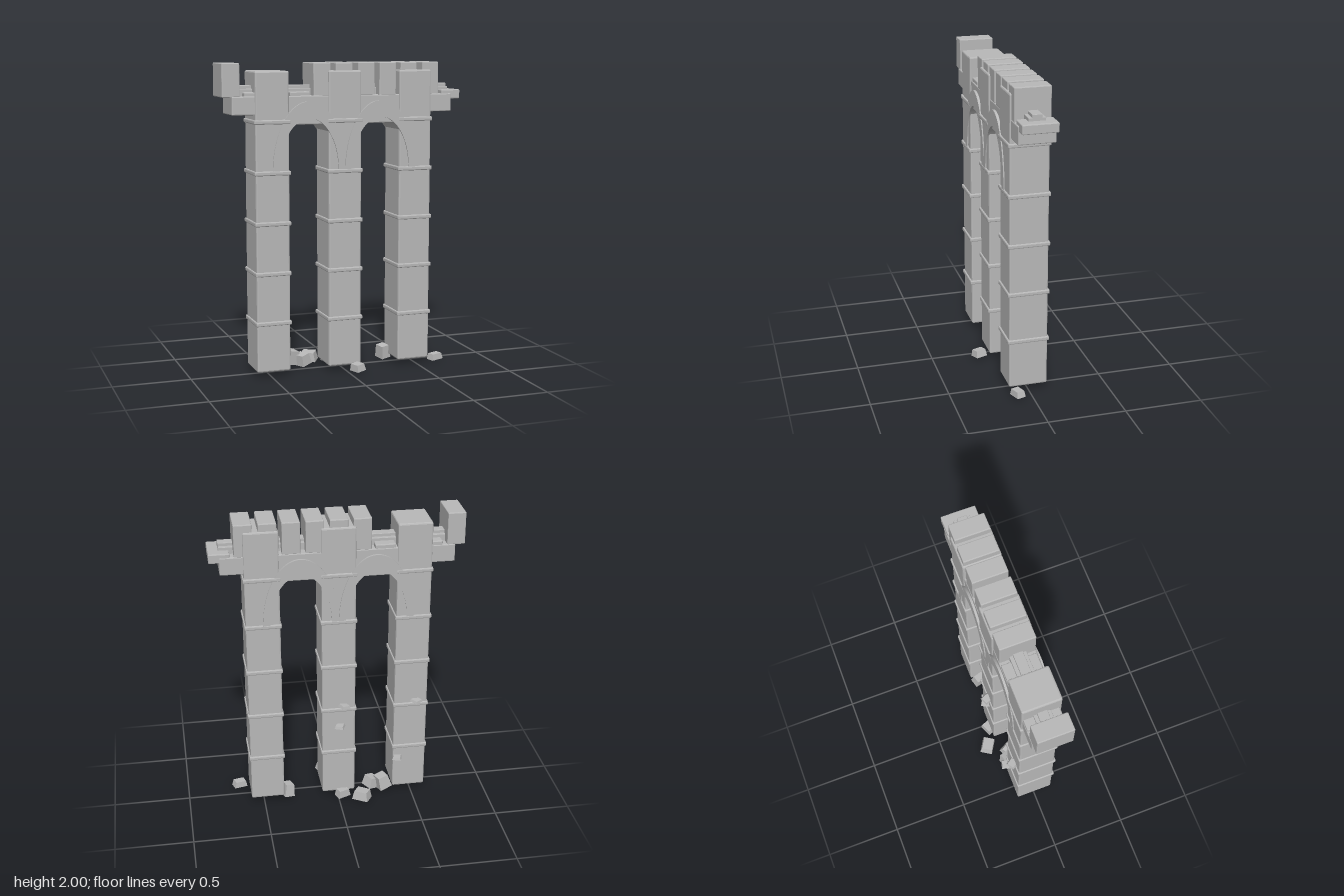
import * as THREE from 'three';
import { RoundedBoxGeometry } from 'three/addons/geometries/RoundedBoxGeometry.js';

export function createModel() {
  const root = new THREE.Group();
  root.name = 'ruinedArcade';
  const stone = new THREE.MeshStandardMaterial({ color: 0xb8b8b8, flatShading: true });
  stone.name = 'grey stone';

  const add = (name, geometry) => {
    const mesh = new THREE.Mesh(geometry, stone);
    mesh.name = name;
    root.add(mesh);
    return mesh;
  };
  // Chamfered block given by its limits
  const block = (name, x0, x1, y0, y1, z0, z1, bevel = 0.006) => {
    const mesh = add(name, new RoundedBoxGeometry(x1 - x0, y1 - y0, z1 - z0, 1, bevel));
    mesh.position.set((x0 + x1) / 2, (y0 + y1) / 2, (z0 + z1) / 2);
    return mesh;
  };

  // Pillars with stone collars
  for (const x of [-0.485, -0.005, 0.475]) {
    block('pillar', x - 0.11, x + 0.11, 0.04, 1.95, -0.122, 0.127, 0.01);
    for (let i = 0; i < 5; i++) {
      const y = 0.355 + i * 0.32;
      block('collar', x - 0.118, x + 0.118, y - 0.014, y + 0.014, -0.131, 0.137, 0.007);
    }
  }

  // Pointed-up elliptical arches, their legs running down over the pillars
  const arch = new THREE.Shape();
  arch.absellipse(0, 0, 0.24, 0.44, 0, Math.PI, false, 0);
  arch.lineTo(-0.195, 0);
  arch.absellipse(0, 0, 0.195, 0.335, Math.PI, 0, true, 0);
  arch.closePath();
  for (const x of [-0.245, 0.235]) {
    const geometry = new THREE.ExtrudeGeometry(arch, { depth: 0.264, bevelEnabled: false, curveSegments: 28 });
    add('arch', geometry).position.set(x, 1.32, -0.1295);
  }

  // Walkway beam, broken ends and stepped rail
  block('spandrelBeam', -0.59, 0.58, 1.615, 1.795, -0.115, 0.118);
  block('brokenBeam', -0.74, 0.73, 1.68, 1.795, -0.115, 0.118);
  block('lowerRail', -0.69, 0.73, 1.78, 1.84, -0.05, 0.056, 0.003);
  block('upperRail', -0.69, 0.73, 1.82, 1.86, -0.028, 0.034, 0.003);

  // Standing merlons
  for (const x of [-0.745, -0.155, -0.008, 0.142, 0.288, 0.432, 0.582]) {
    block('merlon', x - 0.057, x + 0.057, 1.79, 2, -0.112, 0.116);
  }
  // Stumps of fallen merlons
  block('merlonStump', -0.66, -0.55, 1.76, 1.82, -0.112, 0.112);
  block('merlonStump', -0.365, -0.235, 1.76, 1.82, -0.112, 0.112);
  block('merlonStump', 0.665, 0.795, 1.76, 1.82, -0.112, 0.112);

  // Tapered fragments of stone: position, size, turn
  const fragment = (name, p, s, r) => {
    const geometry = new THREE.BoxGeometry(...s);
    const v = geometry.attributes.position;
    for (let i = 0; i < v.count; i++) {
      if (v.getY(i) > 0) v.setXYZ(i, v.getX(i) * 0.78, v.getY(i), v.getZ(i) * 0.85);
    }
    const mesh = add(name, geometry);
    mesh.position.set(...p);
    mesh.rotation.set(...r);
  };
  fragment('rubble', [-0.31, 0.07, -0.09], [0.09, 0.09, 0.09], [0.1, 0.3, -0.25]);
  fragment('rubble', [-0.24, 0.055, -0.06], [0.08, 0.07, 0.09], [0, 0.5, 0.2]);
  fragment('rubble', [-0.155, 0.038, -0.185], [0.11, 0.06, 0.085], [0.1, -0.55, 0.05]);
  fragment('rubble', [0.06, 0.038, 0.19], [0.07, 0.045, 0.08], [0, 0.35, 0.12]);
  fragment('rubble', [0.335, 0.058, -0.07], [0.07, 0.085, 0.08], [0.1, 0.3, 0.1]);
  fragment('rubble', [0.65, 0.034, 0.09], [0.09, 0.04, 0.06], [0, 0.3, 0.05]);
  fragment('rubble', [-0.03, 0.035, -0.135], [0.09, 0.05, 0.06], [0, 0.4, 0]);

  // Chips jutting from the back of the pillars
  fragment('chip', [-0.04, 0.71, -0.14], [0.06, 0.018, 0.06], [0, 0.4, 0.1]);
  fragment('chip', [-0.01, 0.56, -0.14], [0.06, 0.018, 0.06], [0, -0.4, 0]);
  fragment('chip', [-0.52, 0.71, -0.14], [0.06, 0.016, 0.06], [0, 0.6, 0]);
  fragment('chip', [-0.4, 0.28, -0.14], [0.06, 0.016, 0.06], [0, -0.3, 0]);

  return root;
}
